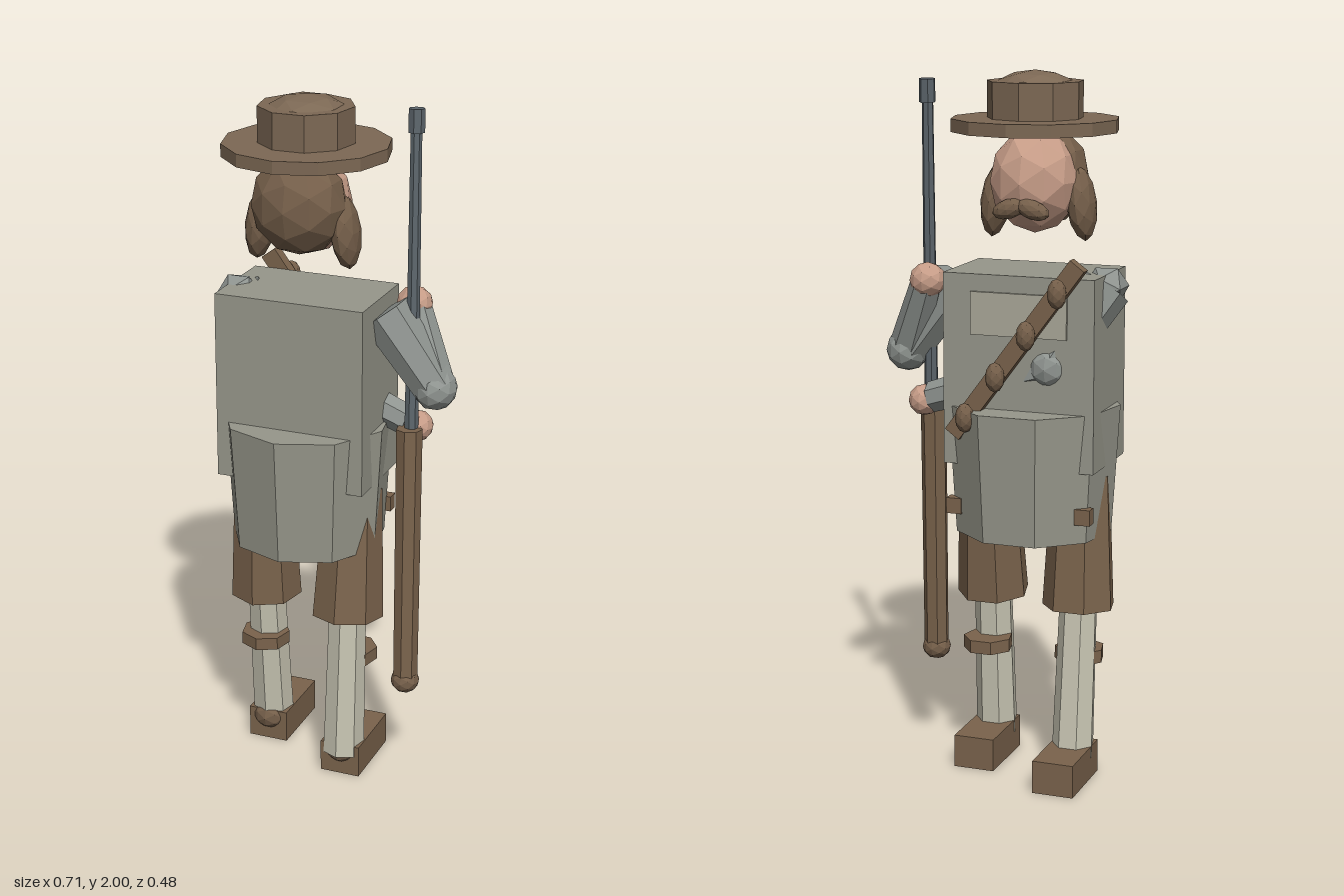
import * as THREE from 'three';

const CX = -0.087; // centre line of the body; the figure faces -z

function makeMaterial(name, color) {
  const m = new THREE.MeshStandardMaterial({ color });
  m.name = name;
  return m;
}

export function createModel() {
  const root = new THREE.Group();
  root.name = 'soldier';
  const tunic = makeMaterial('tunic grey', 0x97978b);
  const sleeve = makeMaterial('sleeve grey', 0x8f9490);
  const felt = makeMaterial('hat brown', 0x7c6854);
  const hair = makeMaterial('hair brown', 0x755f4a);
  const leather = makeMaterial('leather brown', 0x7a634c);
  const skin = makeMaterial('skin', 0xc79d88);
  const sock = makeMaterial('sock cream', 0xc6c3b1);
  const metal = makeMaterial('gun metal', 0x5d666c);
  const cloth = makeMaterial('breast patch', 0xaaa899);

  // Faceted normals on every part
  function add(name, geo, mat, pos, parent = root) {
    const flat = geo.index ? geo.toNonIndexed() : geo;
    flat.computeVertexNormals();
    const mesh = new THREE.Mesh(flat, mat);
    mesh.name = name;
    mesh.position.set(...pos);
    parent.add(mesh);
    return mesh;
  }
  const box = (name, size, pos, mat) => add(name, new THREE.BoxGeometry(...size), mat, pos);
  const blob = (name, [rx, ry, rz], pos, mat, detail = 1) =>
    add(name, new THREE.IcosahedronGeometry(1, detail).scale(rx, ry, rz), mat, pos);
  const drum = (name, rTop, rBottom, y0, y1, sides, mat, x, z) =>
    add(name, new THREE.CylinderGeometry(rTop, rBottom, y1 - y0, sides), mat, [x, (y0 + y1) / 2, z]);

  // Tapered rod from point a to point b
  function rod(name, a, b, ra, rb, sides, mat) {
    const A = new THREE.Vector3(...a), B = new THREE.Vector3(...b);
    const dir = B.clone().sub(A);
    const mesh = add(name, new THREE.CylinderGeometry(rb, ra, dir.length(), sides), mat,
      A.clone().add(B).multiplyScalar(0.5).toArray());
    mesh.quaternion.setFromUnitVectors(new THREE.Vector3(0, 1, 0), dir.normalize());
    return mesh;
  }

  // Hat
  drum('hatBrim', 0.235, 0.235, 1.836, 1.872, 12, felt, CX, -0.005);
  drum('hatCrown', 0.135, 0.135, 1.87, 1.973, 9, felt, CX, -0.005).rotation.y = Math.PI;
  blob('hatDome', [0.116, 0.055, 0.116], [CX, 1.947, -0.005], felt);

  // Head, hair and whiskers
  blob('head', [0.126, 0.145, 0.13], [CX, 1.7, -0.005], skin);
  blob('hairBack', [0.137, 0.143, 0.115], [CX, 1.71, 0.05], hair);
  for (const s of [-1, 1]) {
    blob('sideLock', [0.04, 0.105, 0.06], [CX + s * 0.126, 1.638, 0.024], hair).rotation.z = s * 0.12;
    blob('moustacheHalf', [0.05, 0.027, 0.025], [CX + s * 0.034, 1.633, -0.121], hair).rotation.z = -s * 0.3;
  }

  // Coat
  box('coatBody', [0.44, 0.54, 0.278], [CX, 1.183, -0.004], tunic);
  drum('coatSkirt', 0.245, 0.222, 0.71, 1.077, 9, tunic, CX, -0.006);
  box('breastPatch', [0.28, 0.12, 0.009], [-0.09, 1.345, -0.147], cloth);

  // Bandolier with four powder flasks
  const slant = Math.atan2(0.267, 0.36);
  box('bandolier', [0.05, 0.61, 0.034], [CX, 1.25, -0.163], leather).rotation.z = slant;
  for (let i = 0; i < 4; i++) {
    blob('flask', [0.027, 0.042, 0.027], [-0.22 + i * 0.089, 1.42 - i * 0.12, -0.203], hair);
  }

  // Legs in a slight stride; the model's own +x foot trails
  const legs = [
    { x: 0.053, knee: 0.04, ankle: 0.07, shoe: -0.008, heel: 0.065 },
    { x: -0.227, knee: -0.015, ankle: -0.06, shoe: -0.122, heel: -0.045 },
  ];
  for (const { x, knee, ankle, shoe, heel } of legs) {
    rod('breechesLeg', [x, 0.495, knee], [x, 0.88, 0], 0.105, 0.085, 7, leather);
    rod('sock', [x, 0.06, ankle], [x, 0.52, knee], 0.061, 0.055, 7, sock);
    drum('garter', 0.072, 0.072, 0.333, 0.37, 7, leather, x, -0.005);
    box('shoe', [0.12, 0.095, 0.226], [x + 0.002, 0.0475, shoe], leather);
    blob('heel', [0.058, 0.05, 0.058], [x, 0.072, heel], hair);
  }

  // Small buckles on the coat skirt
  for (const s of [-1, 1]) {
    box('buckle', [0.045, 0.045, 0.035], [CX + s * 0.19, 0.79, -0.13], leather);
  }

  // Arm on the rifle side, bent up to the barrel
  const elbowA = [0.29, 1.205, -0.02], handA = [0.2, 1.42, -0.09];
  rod('upperArmLeft', [0.14, 1.41, -0.015], elbowA, 0.075, 0.062, 7, sleeve);
  blob('elbowLeft', [0.062, 0.062, 0.068], elbowA, sleeve);
  rod('forearmLeft', elbowA, handA, 0.058, 0.045, 7, sleeve);
  blob('handLeft', [0.052, 0.05, 0.05], handA, skin);

  // Arm folded across the body to the stock
  const shoulderB = [-0.295, 1.415, 0], elbowB = [-0.17, 1.2, -0.1], handB = [0.225, 1.07, -0.06];
  blob('shoulderRight', [0.062, 0.06, 0.08], shoulderB, sleeve, 0);
  rod('upperArmRight', shoulderB, elbowB, 0.072, 0.06, 7, sleeve);
  blob('elbowRight', [0.065, 0.065, 0.065], elbowB, sleeve);
  rod('forearmRight', elbowB, [0.2, 1.08, -0.06], 0.055, 0.045, 7, sleeve);
  blob('handRight', [0.045, 0.045, 0.048], handB, skin);

  // Rifle
  rod('rifleBarrel', [0.222, 1.05, -0.015], [0.208, 1.93, -0.062], 0.02, 0.016, 7, metal);
  rod('rifleMuzzle', [0.209, 1.91, -0.061], [0.208, 1.975, -0.064], 0.023, 0.023, 7, metal);
  rod('rifleStock', [0.229, 0.3, 0.028], [0.22, 1.08, -0.004], 0.036, 0.038, 7, leather);
  blob('rifleButt', [0.042, 0.038, 0.042], [0.229, 0.308, 0.028], hair);

  return root;
}
